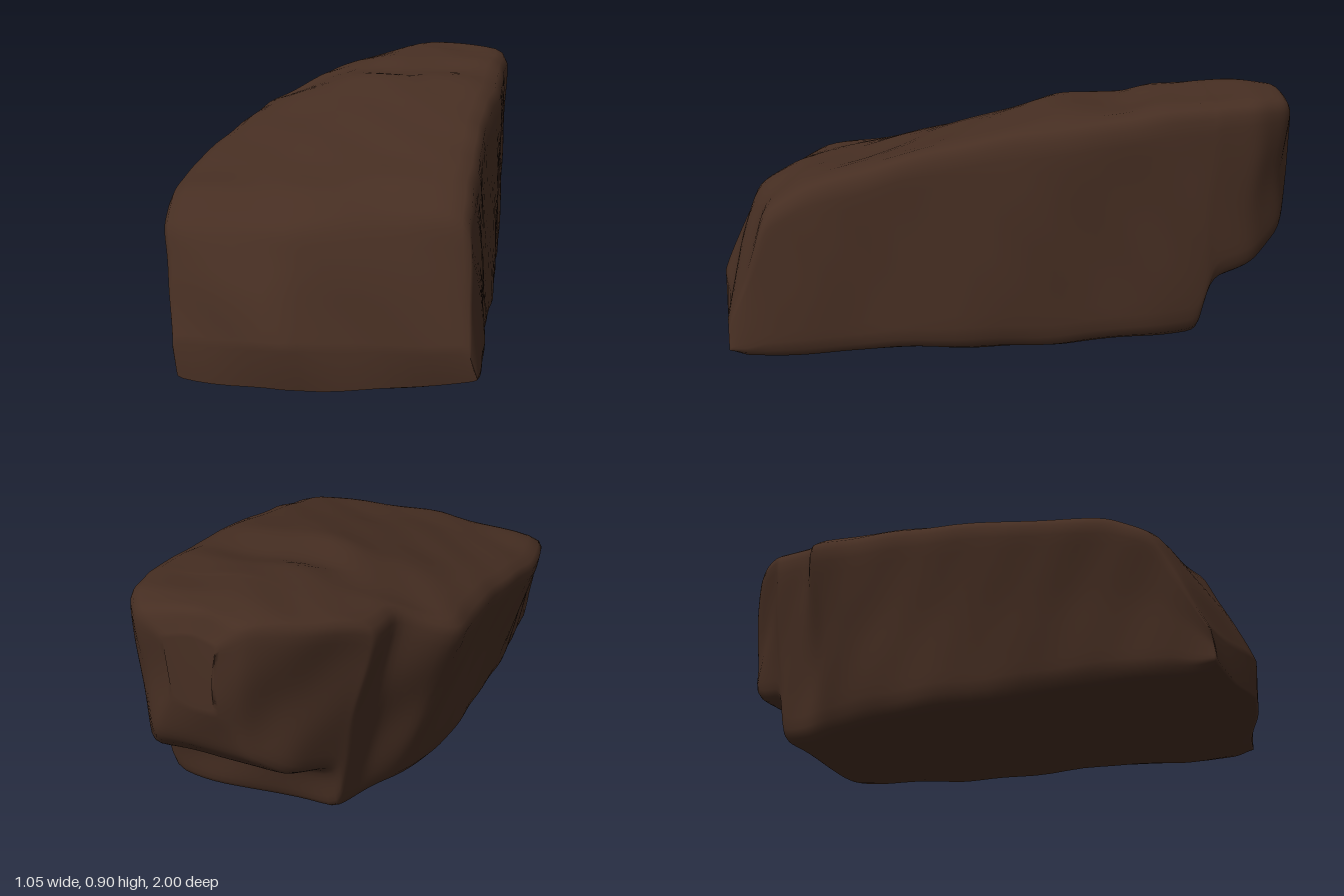
import * as THREE from 'three';

// z, bottom y, left shoulder x y, crown x y, right shoulder x y, left foot x, right foot x
const SECTIONS = [
  [1.00, 0.02, -0.40, 0.13, 0.00, 0.14, 0.50, 0.13, -0.38, 0.53],
  [0.94, 0.00, -0.43, 0.30, 0.00, 0.32, 0.50, 0.32, -0.38, 0.53],
  [0.86, 0.00, -0.47, 0.46, 0.00, 0.49, 0.49, 0.52, -0.38, 0.53],
  [0.70, 0.00, -0.51, 0.54, 0.00, 0.58, 0.48, 0.61, -0.38, 0.53],
  [0.45, 0.01, -0.54, 0.56, 0.00, 0.63, 0.48, 0.66, -0.37, 0.52],
  [0.00, 0.02, -0.49, 0.64, 0.00, 0.76, 0.49, 0.78, -0.36, 0.51],
  [-0.22, 0.02, -0.48, 0.67, 0.00, 0.84, 0.50, 0.81, -0.32, 0.50],
  [-0.42, 0.04, -0.47, 0.68, -0.08, 0.82, 0.50, 0.83, -0.25, 0.49],
  [-0.55, 0.05, -0.28, 0.78, 0.08, 0.87, 0.50, 0.86, -0.18, 0.48],
  [-0.69, 0.07, -0.27, 0.79, 0.13, 0.89, 0.50, 0.87, -0.14, 0.46],
  [-0.72, 0.25, -0.24, 0.80, 0.13, 0.89, 0.50, 0.87, -0.14, 0.46],
  [-0.85, 0.30, -0.09, 0.84, 0.16, 0.90, 0.48, 0.88, -0.05, 0.44],
  [-0.95, 0.40, 0.03, 0.85, 0.18, 0.89, 0.40, 0.86, 0.06, 0.37],
  [-0.99, 0.58, 0.12, 0.79, 0.20, 0.81, 0.29, 0.79, 0.14, 0.28],
];
const EDGE = 8, STEPS = 7;

// One closed outline across the rock, with rounded corners
function ring([z, yb, lx, ly, cx, cy, rx, ry, fl, fr]) {
  const corners = [
    [fl, yb], [(fl + lx) / 2 + 0.01, (yb + ly) / 2], [lx, ly], [cx, cy],
    [rx, ry], [(rx + fr) / 2, (ry + yb) / 2], [fr, yb + 0.02], [(fl + fr) / 2, yb],
  ];
  let pts = [];
  corners.forEach(([x, y], i) => {
    const [nx, ny] = corners[(i + 1) % corners.length];
    for (let k = 0; k < EDGE; k++) {
      const t = k / EDGE;
      pts.push(new THREE.Vector3(x + (nx - x) * t, y + (ny - y) * t, z));
    }
  });
  for (let pass = 0; pass < 2; pass++) {
    pts = pts.map((p, i) => blend(pts.at(i - 1), p, pts[(i + 1) % pts.length]));
  }
  return pts;
}

function blend(before, p, after) {
  return p.clone().multiplyScalar(2).add(before).add(after).multiplyScalar(0.25);
}

// Angle the front face back at both sides and add weathered lumps
function weather(p) {
  const { x, y, z } = p;
  const front = THREE.MathUtils.smoothstep(z, 0.2, 1);
  p.z -= front * (x > -0.05 ? (x + 0.05) * 0.22 : (-0.05 - x) * 0.2);
  p.x += 0.005 * Math.sin(9 * z + 5 * y) + 0.002 * Math.sin(23 * z - 17 * y);
  p.y += 0.004 * Math.sin(11 * x + 8 * z) + 0.002 * Math.sin(19 * z - 21 * x);
  p.z += 0.007 * Math.sin(13 * x + 15 * y);
}

function rockGeometry() {
  // Fill in between the sections and soften along the length
  const base = SECTIONS.map(ring);
  const last = (base.length - 1) * STEPS;
  let rows = [];
  for (let i = 0; i < last; i++) {
    const s = Math.floor(i / STEPS);
    rows.push(base[s].map((p, j) => p.clone().lerp(base[s + 1][j], (i % STEPS) / STEPS)));
  }
  rows.push(base.at(-1));
  for (let pass = 0; pass < 3; pass++) {
    rows = rows.map((r, i) => (i === 0 || i === last ? r
      : r.map((p, j) => blend(rows[i - 1][j], p, rows[i + 1][j]))));
  }
  const points = rows.flat();

  // Skin around the body
  const n = rows[0].length, idx = [];
  for (let i = 0; i < last; i++) {
    for (let j = 0; j < n; j++) {
      const a = i * n + j, b = i * n + (j + 1) % n;
      idx.push(a, b, a + n, b, b + n, a + n);
    }
  }
  // Close each end with a strip joining the lower and upper halves of its outline
  for (const r of [0, last]) {
    const at = (k) => r * n + (k + n) % n;
    const start = EDGE;
    for (let k = 0; k < n / 2; k++) {
      const a = at(start + k), b = at(start + k + 1);
      const c = at(start - k), d = at(start - k - 1);
      if (r === 0) idx.push(a, c, b, b, c, d);
      else idx.push(a, b, c, b, d, c);
    }
  }
  points.forEach(weather);

  const geometry = new THREE.BufferGeometry().setFromPoints(points);
  geometry.setIndex(idx);
  geometry.computeVertexNormals();
  return geometry;
}

export function createModel() {
  const group = new THREE.Group();
  group.name = 'boulder';
  const stone = new THREE.MeshStandardMaterial({ color: 0x462e22 });
  stone.name = 'dark brown stone';
  const rock = new THREE.Mesh(rockGeometry(), stone);
  rock.name = 'rock';
  group.add(rock);
  return group;
}
